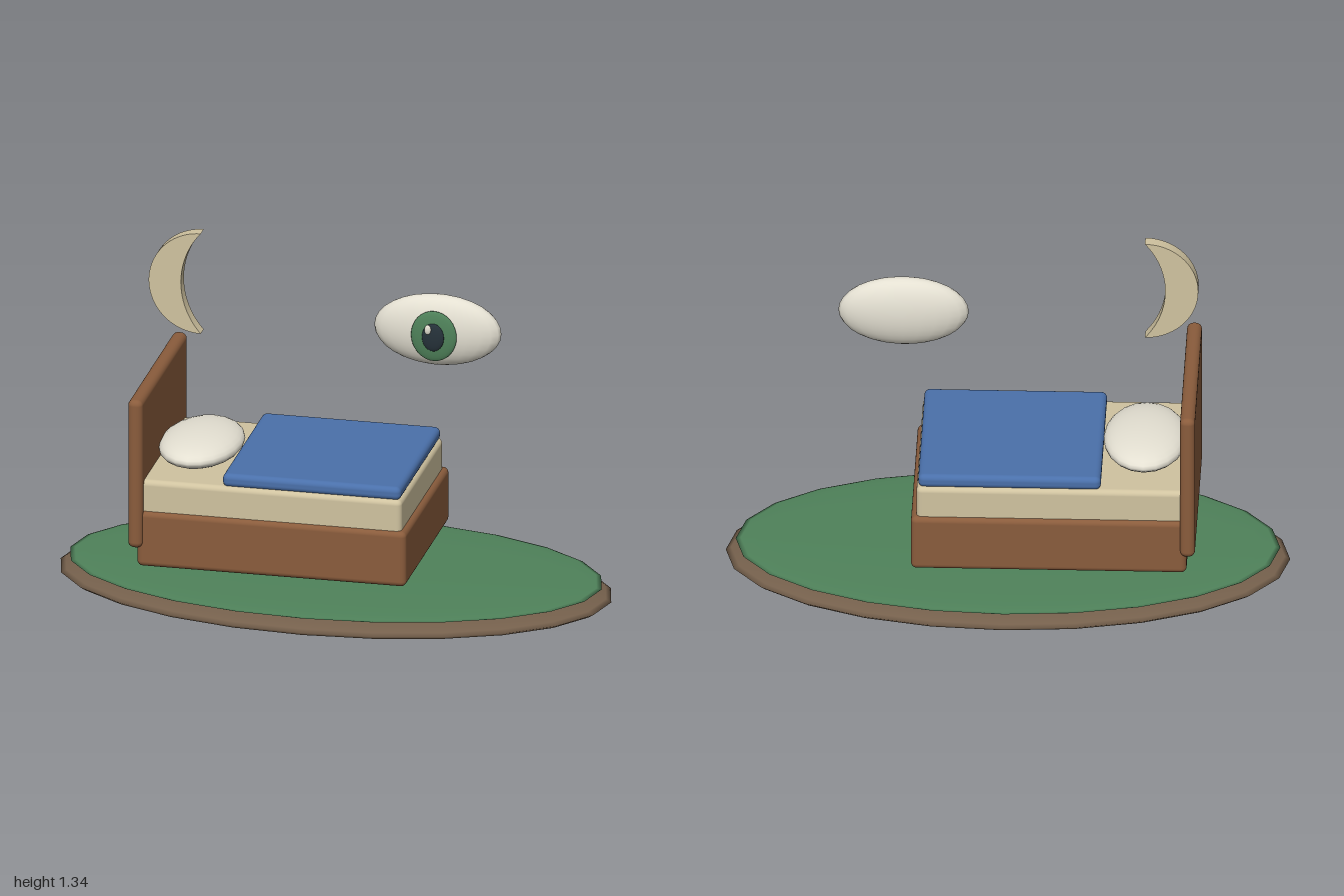
import * as THREE from 'three';
import { RoundedBoxGeometry } from 'three/addons/geometries/RoundedBoxGeometry.js';

const paint = (color) => new THREE.MeshStandardMaterial({ color });
const wood = paint(0x8a5c3c);
const earth = paint(0x75604c);
const green = paint(0x4f825a);
const blue = paint(0x4a70aa);
const cream = paint(0xd0c3a0);
const white = paint(0xe4e0d2);
const dark = paint(0x26323a);

export function createModel() {
  const model = new THREE.Group();

  const add = (parent, name, geometry, material, x, y, z) => {
    const mesh = new THREE.Mesh(geometry, material);
    mesh.name = name;
    mesh.position.set(x, y, z);
    parent.add(mesh);
    return mesh;
  };
  // Rounded box given by its x and y limits and half depth
  const slab = (parent, name, material, x0, x1, y0, y1, halfZ, radius) =>
    add(parent, name, new RoundedBoxGeometry(x1 - x0, y1 - y0, halfZ * 2, 3, radius),
      material, (x0 + x1) / 2, (y0 + y1) / 2, 0);
  // Sphere stretched to three radii
  const ellipsoid = (parent, name, material, [x, y, z], radii, segments = 24) =>
    add(parent, name, new THREE.SphereGeometry(1, segments, 16), material, x, y, z).scale.set(...radii);

  // Floating island
  const island = new THREE.Group();
  island.name = 'island';
  ellipsoid(island, 'earthBase', earth, [0, 0.059, 0], [1, 0.058, 0.545]);
  ellipsoid(island, 'grass', green, [0, 0.105, 0], [0.965, 0.018, 0.522]);

  // Bed
  const bed = new THREE.Group();
  bed.name = 'bed';
  slab(bed, 'bedFrame', wood, -0.645, 0.332, 0.185, 0.392, 0.35, 0.02);
  slab(bed, 'headboard', wood, -0.675, -0.622, 0.257, 0.815, 0.367, 0.022);
  slab(bed, 'mattress', cream, -0.64, 0.313, 0.36, 0.506, 0.335, 0.02);
  slab(bed, 'blanket', blue, -0.34, 0.307, 0.5, 0.55, 0.325, 0.02);
  ellipsoid(bed, 'pillow', white, [-0.487, 0.542, 0], [0.148, 0.054, 0.238], 20);

  // Floating eye, looking forward
  const eye = new THREE.Group();
  eye.name = 'eye';
  ellipsoid(eye, 'eyeball', white, [0.37, 1.04, 0], [0.231, 0.132, 0.064]);
  ellipsoid(eye, 'iris', green, [0.37, 1.037, 0.064], [0.083, 0.094, 0.016]);
  ellipsoid(eye, 'pupil', dark, [0.37, 1.037, 0.079], [0.04, 0.052, 0.011]);
  ellipsoid(eye, 'highlight', white, [0.353, 1.068, 0.088], [0.012, 0.018, 0.007], 16);

  // Crescent moon: outer half circle closed by a shallower inner arc
  const outer = 0.189, depth = 0.072;
  const inner = (outer ** 2 + depth ** 2) / (2 * depth);
  const tip = Math.asin(outer / inner);
  const crescent = new THREE.Shape();
  crescent.absarc(0, 0, outer, Math.PI / 2, Math.PI * 1.5, false);
  crescent.absarc(inner - depth, 0, inner, Math.PI + tip, Math.PI - tip, true);
  const moonGeometry = new THREE.ExtrudeGeometry(crescent, {
    depth: 0.048, bevelEnabled: false, curveSegments: 20,
  });
  add(model, 'moon', moonGeometry, cream, -0.486, 1.148, -0.024);

  model.add(island, bed, eye);
  return model;
}
